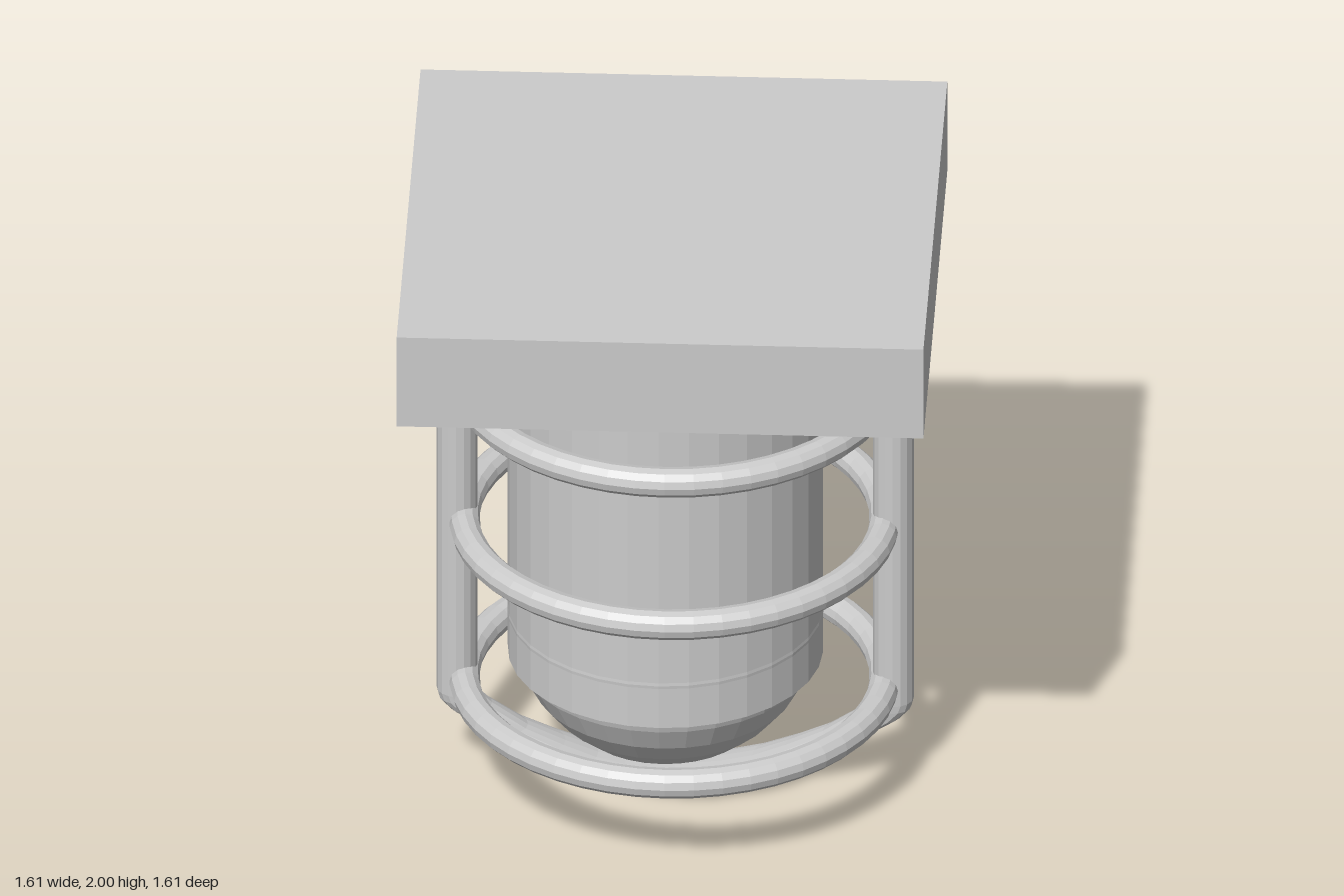
import * as THREE from 'three';

const material = new THREE.MeshStandardMaterial({ color: 0xcccccc, flatShading: true });

function part(name, geometry, x, y) {
  const mesh = new THREE.Mesh(geometry, material);
  mesh.name = name;
  mesh.position.set(x, y, 0);
  return mesh;
}

// Guard bar: round posts joined by a strap that flattens and widens underneath.
// Each row: outer x, outer y, inner x, inner y, half width in z
function guardBarGeometry() {
  const half = [
    [0.729, 1.69, 0.605, 1.69, 0.062],
    [0.729, 0.29, 0.605, 0.29, 0.062],
    [0.722, 0.262, 0.594, 0.27, 0.062],
    [0.69, 0.228, 0.56, 0.238, 0.064],
    [0.6, 0.175, 0.45, 0.163, 0.07],
    [0.475, 0.118, 0.335, 0.11, 0.078],
    [0.34, 0.067, 0.235, 0.071, 0.085],
    [0.21, 0.029, 0.15, 0.052, 0.09],
    [0.1, 0.008, 0.075, 0.042, 0.093],
  ];
  const mirrored = half.map(([a, b, c, d, w]) => [-a, b, -c, d, w]).reverse();
  const rows = [...half, [0, 0, 0, 0.036, 0.095], ...mirrored];
  const sides = 16, positions = [], indices = [];
  for (const [ox, oy, ix, iy, w] of rows) {
    for (let j = 0; j < sides; j++) {
      const t = (j / sides) * Math.PI * 2, k = Math.cos(t) / 2;
      positions.push((ox + ix) / 2 + (ox - ix) * k, (oy + iy) / 2 + (oy - iy) * k, w * Math.sin(t));
    }
  }
  for (let i = 0; i < rows.length - 1; i++) {
    for (let j = 0; j < sides; j++) {
      const a = i * sides + j, b = i * sides + (j + 1) % sides;
      indices.push(a, a + sides, b, b, a + sides, b + sides);
    }
  }
  const geometry = new THREE.BufferGeometry();
  geometry.setAttribute('position', new THREE.Float32BufferAttribute(positions, 3));
  geometry.setIndex(indices);
  // Orient the faces outward: the first face must point towards +x
  const p = (n) => new THREE.Vector3().fromArray(positions, indices[n] * 3);
  const normal = p(1).sub(p(0)).cross(p(2).sub(p(0)));
  if (normal.x < 0) geometry.setIndex(indices.reverse());
  geometry.computeVertexNormals();
  return geometry;
}

export function createModel() {
  const group = new THREE.Group();

  // Square mounting plate
  group.add(part('mountingPlate', new THREE.BoxGeometry(1.61, 0.315, 1.61), 0, 1.8425));

  // Lamp body and rounded glass end
  group.add(part('lampBody', new THREE.CylinderGeometry(0.482, 0.482, 1.242, 32), -0.02, 1.066));
  group.add(part('glassDome', new THREE.SphereGeometry(0.483, 32, 16), -0.02, 0.593));

  // Cage rings
  for (const y of [1.412, 0.907, 0.345]) {
    const ring = new THREE.TorusGeometry(0.642, 0.047, 12, 48).rotateX(Math.PI / 2);
    group.add(part('cageRing', ring, 0.008, y));
  }

  // Guard bar running down one side, under the dome and up the other
  group.add(part('guardBar', guardBarGeometry(), 0.01, 0));

  return group;
}
